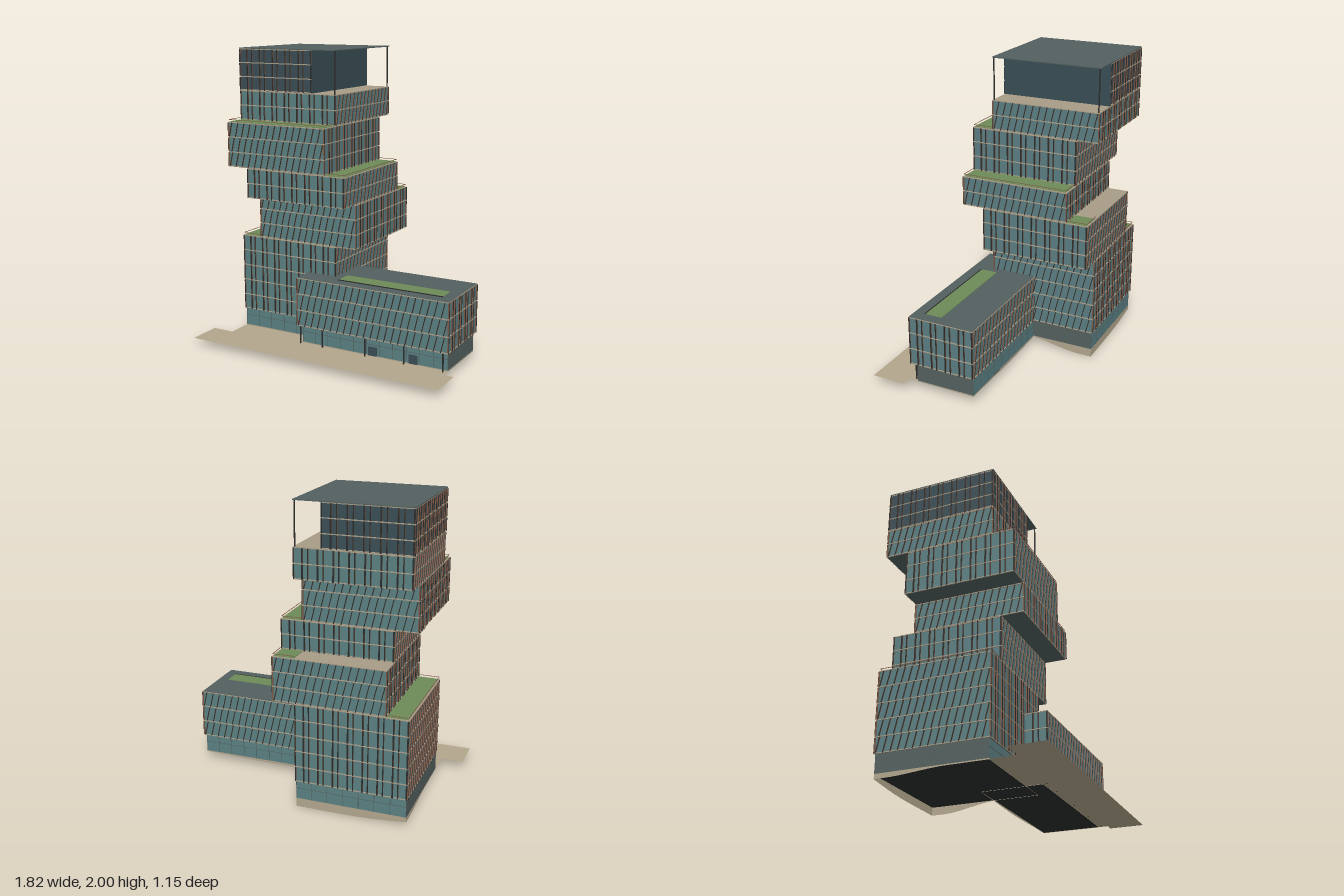
import * as THREE from 'three';
import { mergeGeometries } from 'three/addons/utils/BufferGeometryUtils.js';

const mat = (color, side = THREE.FrontSide) => new THREE.MeshStandardMaterial({ color, side, flatShading: true });
const glass = mat(0x5a7f82), crownGlass = mat(0x394d54), slabTan = mat(0xa89c86), roofGrey = mat(0x53605f);
const grass = mat(0x6d8b57), tan = mat(0xb3a68d, THREE.DoubleSide), dark = mat(0x2b2d2c), brown = mat(0x7d5744);

// Box geometry from its minimum and maximum on each axis
function span(x0, x1, y0, y1, z0, z1) {
  return new THREE.BoxGeometry(x1 - x0, y1 - y0, z1 - z0)
    .translate((x0 + x1) / 2, (y0 + y1) / 2, (z0 + z1) / 2);
}

function add(group, name, geometry, material) {
  const mesh = new THREE.Mesh(Array.isArray(geometry) ? mergeGeometries(geometry) : geometry, material);
  mesh.name = name;
  group.add(mesh);
  return mesh;
}

// Upright or leaning fins on one facade, in local x/y, facing +z
function facadeFins(width, y0, height, storeys, leaning, sides, edges, matrix) {
  const storey = height / storeys, count = Math.round(width / 0.049), bay = width / count;
  for (let s = 0; s < storeys; s++) {
    for (let i = 0; i <= count; i++) {
      if (leaning && i === count) continue;
      const shift = leaning ? (s % 2) * bay * 0.35 + 0.004 : (i > 0 && i < count ? (i % 2 ? 0.007 : -0.007) : 0);
      const thick = leaning ? 0.004 : (i % 2 ? 0.009 : 0.006);
      for (const [list, w, d, z] of [[sides, thick, 0.008, 0.003], [edges, thick + 0.0005, 0.002, 0.008]]) {
        const g = new THREE.BoxGeometry(w, storey - 0.008, d);
        const p = g.attributes.position;
        if (leaning) for (let k = 0; k < p.count; k++) p.setX(k, p.getX(k) + p.getY(k) * 0.24);
        const x = -width / 2 + i * bay + shift + (leaning ? storey * 0.12 : 0);
        g.translate(x, y0 + (s + 0.5) * storey, z);
        list.push(g.applyMatrix4(matrix));
      }
    }
  }
}

// One stacked volume: glazed core, floor bands, soffit and fins.
// faces: front, left (+x), back, right (-x); 1 = leaning, 0 = upright, null = plain
function volume(parent, name, [x0, x1, y0, y1, z0, z1], storeys, faces, skin = glass) {
  const g = new THREE.Group();
  g.name = name;
  parent.add(g);
  add(g, 'glazing', span(x0, x1, y0 + 0.003, y1 - 0.003, z0, z1), skin);
  add(g, 'soffit', span(x0, x1, y0 + 0.0005, y0 + 0.004, z0, z1), roofGrey);
  const bands = [], sides = [], edges = [], h = y1 - y0, e = 0.005;
  for (let s = 0; s <= storeys; s++) {
    const y = Math.min(Math.max(y0 + h * s / storeys, y0 + 0.005), y1 - 0.003);
    bands.push(span(x0 - e, x1 + e, y - 0.003, y + 0.003, z0 - e, z1 + e));
  }
  add(g, 'floorBands', bands, slabTan);
  faces.forEach((leaning, i) => {
    if (leaning === null) return;
    const along = i % 2 ? z1 - z0 : x1 - x0, out = i % 2 ? x1 - x0 : z1 - z0;
    const m = new THREE.Matrix4().makeTranslation((x0 + x1) / 2, 0, (z0 + z1) / 2)
      .multiply(new THREE.Matrix4().makeRotationY(i * Math.PI / 2))
      .multiply(new THREE.Matrix4().makeTranslation(0, 0, out / 2));
    facadeFins(along, y0, h, storeys, leaning, sides, edges, m);
  });
  add(g, 'fins', sides, brown);
  add(g, 'finEdges', edges, dark);
}

// Open skirt wall whose lower edge follows the sloping ground
function foundation(parent, name, x0, x1, z0, z1, ground) {
  const g = new THREE.BoxGeometry(x1 - x0, 1, z1 - z0, 20, 1, 20).translate((x0 + x1) / 2, 0, (z0 + z1) / 2);
  const p = g.attributes.position, n = g.attributes.normal, kept = [];
  for (let k = 0; k < p.count; k++) p.setY(k, p.getY(k) > 0 ? 0.058 : ground(p.getX(k), p.getZ(k)));
  for (let k = 0; k < g.index.count; k += 3) {
    const t = [0, 1, 2].map(j => g.index.getX(k + j));
    if (Math.abs(n.getY(t[0])) < 0.5) kept.push(...t);
  }
  g.setIndex(kept);
  g.clearGroups();
  add(parent, name, g, tan);
}

// Ground storey with slim mullions and a transom
function groundStorey(parent, name, x0, x1, z0, z1) {
  add(parent, name, span(x0, x1, 0.055, 0.182, z0, z1), glass);
  add(parent, name + 'Underside', span(x0, x1, 0.052, 0.056, z0, z1), dark);
  const bars = [span(x0 - 0.002, x1 + 0.002, 0.128, 0.131, z0 - 0.002, z1 + 0.002)], n = Math.round((x1 - x0) / 0.1);
  for (let i = 0; i <= n; i++) {
    const x = x0 + (x1 - x0) * i / n;
    bars.push(span(x - 0.0015, x + 0.0015, 0.058, 0.18, z0 - 0.002, z1 + 0.002));
  }
  add(parent, name + 'Mullions', bars, roofGrey);
}

export function createModel() {
  const model = new THREE.Group();
  model.name = 'steppedTower';
  const xa = -0.757, xb = -0.022, za = -0.565, zb = 0.172, s = 0.147;

  // Stacked tower volumes, alternately shifted sideways and forwards
  volume(model, 'lowerTower', [xa, xb, 0.178, 0.712, za, zb], 5, [0, 1, 0, 1]);
  volume(model, 'secondTier', [xa + s, xb + s, 0.712, 1.012, za, zb], 3, [1, 0, 1, 0]);
  volume(model, 'thirdTier', [xa + s, xb + s, 1.012, 1.214, za + s, zb + s], 2, [0, 1, 0, 1]);
  volume(model, 'fourthTier', [xa, xb, 1.214, 1.516, za + s, zb + s], 3, [1, 0, 1, 0]);
  volume(model, 'fifthTier', [xa, xb, 1.516, 1.716, za, zb], 2, [0, 1, 0, 1]);
  volume(model, 'sideWing', [-0.23, 0.855, 0.178, 0.512, -0.13, 0.317], 3, [1, 0, 1, 0]);

  // Crown with open terrace under the roof
  volume(model, 'crown', [xa, -0.2, 1.716, 1.994, za, zb], 3, [0, null, 0, 0], crownGlass);
  add(model, 'crownSideWall', span(-0.202, -0.194, 1.718, 1.994, za - 0.005, zb + 0.005), crownGlass);
  add(model, 'crownRoof', span(xa - 0.006, xb + 0.004, 1.994, 2, za - 0.007, zb + 0.006), roofGrey);
  add(model, 'crownPosts', [za, zb - 0.007].map(z => span(-0.031, -0.024, 1.714, 1.996, z, z + 0.007)), dark);

  // Planted terraces: x0, x1, top of volume, z0, z1
  const terraces = [
    [xa, xa + s, 0.712, za, zb],
    [xb, xb + s, 1.012, za, za + s],
    [xb, xb + s, 1.214, za + s, zb + s],
    [xa, xb, 1.516, zb, zb + s],
  ];
  add(model, 'greenTerraces', terraces.map(([x0, x1, y, z0, z1]) =>
    span(x0 + 0.006, x1 - 0.006, y - 0.002, y + 0.004, z0 + 0.006, z1 - 0.006)), grass);

  // Handrails along the outer terrace edges
  const rails = [], r = 0.0015;
  const railX = (x0, x1, y, z) => rails.push(span(x0, x1, y + 0.014, y + 0.017, z - r, z + r));
  const railZ = (x, y, z0, z1) => rails.push(span(x - r, x + r, y + 0.014, y + 0.017, z0, z1));
  railZ(xa, 0.712, za, zb);
  railX(xa, xa + s, 0.712, za);
  railX(xa, xa + s, 0.712, zb);
  railZ(xb + s, 1.012, za, za + s);
  railX(xb, xb + s, 1.012, za);
  railZ(xb + s, 1.214, za + s, zb + s);
  railX(xb, xb + s, 1.214, zb + s);
  railX(xb, xb + s, 1.214, za + s);
  railX(xa, xb, 1.516, zb + s);
  railZ(xa, 1.516, zb, zb + s);
  railZ(xb, 1.516, zb, zb + s);
  add(model, 'handrails', rails, brown);

  // Wing roof with planted strip
  add(model, 'wingRoof', span(-0.232, 0.857, 0.508, 0.5145, -0.132, 0.319), roofGrey);
  add(model, 'wingRoofPlanting', span(0.04, 0.785, 0.51, 0.518, 0.125, 0.24), grass);
  add(model, 'wingPlanterEdge', span(0.04, 0.785, 0.51, 0.519, 0.24, 0.248), dark);

  // Ground storey, doors and columns
  groundStorey(model, 'towerLobby', -0.755, -0.024, -0.56, 0.168);
  groundStorey(model, 'wingLobby', -0.215, 0.843, -0.125, 0.278);
  add(model, 'doors', [0.285, 0.575].map(x => span(x, x + 0.06, 0.055, 0.115, 0.27, 0.284)), crownGlass);
  add(model, 'columns', [-0.22, -0.05, 0.27, 0.55, 0.82].map(x =>
    span(x - 0.004, x + 0.004, 0.05, 0.18, 0.299, 0.307)), dark);

  // Foundations on ground that falls away towards the back
  const step = THREE.MathUtils.smoothstep;
  foundation(model, 'towerFoundation', -0.757, -0.022, -0.562, 0.17,
    (x, z) => 0.05 - 0.05 * step(-z, 0.1, 0.48) * (0.2 + 0.8 * Math.sin(Math.PI / 2 * step(x, -1, -0.2))));
  foundation(model, 'wingFoundation', -0.217, 0.845, -0.127, 0.28,
    (x, z) => 0.05 - 0.01 * step(-z, -0.28, 0.127) * Math.sin(Math.PI * step(x, -0.217, 0.845)));

  // Paved forecourt
  const outline = [[-0.91, 0.575], [0.91, 0.575], [0.91, 0.343], [0.845, 0.343], [0.845, 0.28],
    [-0.217, 0.28], [-0.217, 0.17], [-0.757, 0.17], [-0.757, 0.343], [-0.91, 0.343]];
  const paving = new THREE.ShapeGeometry(new THREE.Shape(outline.map(([x, z]) => new THREE.Vector2(x, -z))));
  add(model, 'forecourt', paving.rotateX(-Math.PI / 2).translate(0, 0.052, 0), tan);
  return model;
}
